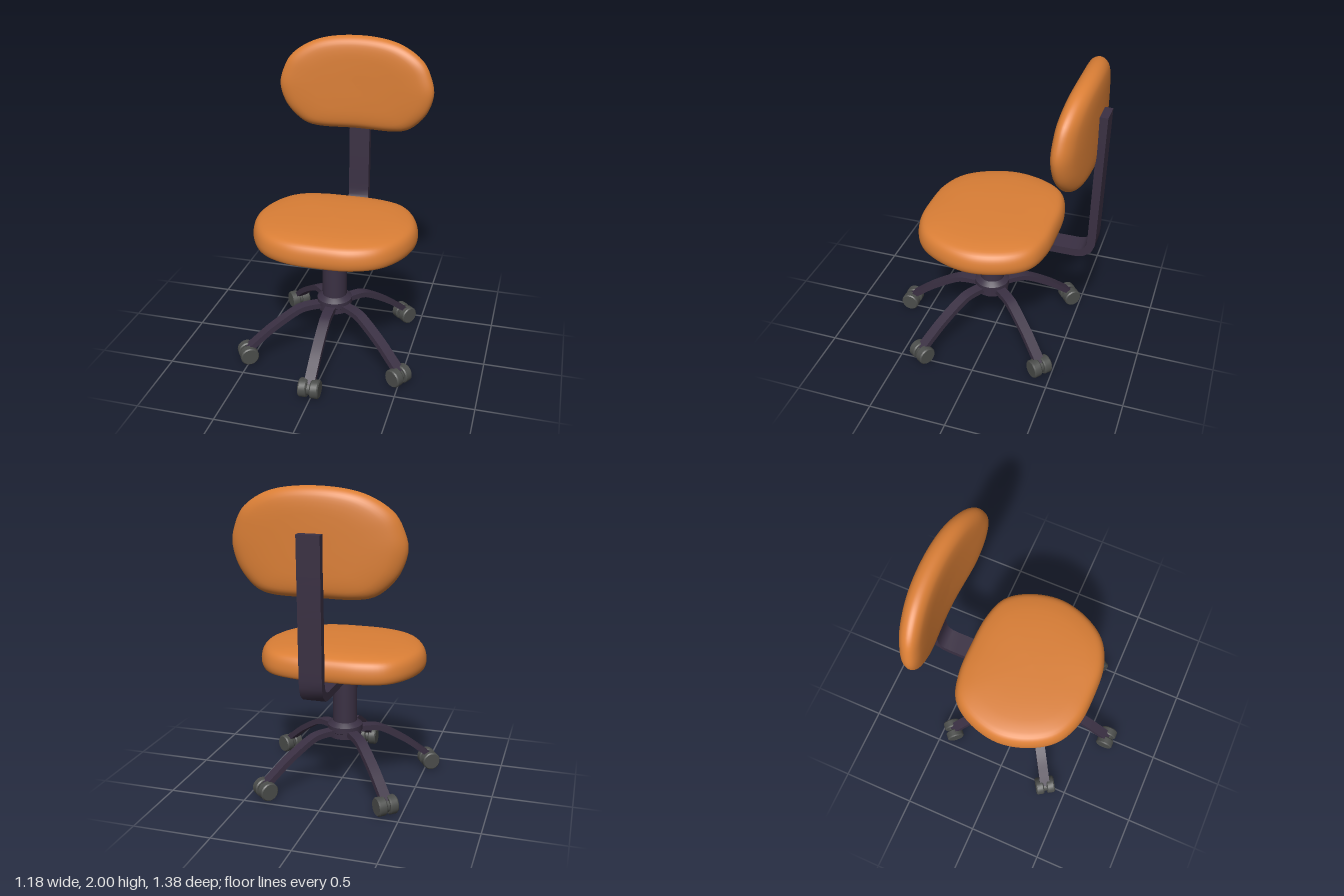
import * as THREE from 'three';
import { toCreasedNormals } from 'three/addons/utils/BufferGeometryUtils.js';

const mat = (name, color) => new THREE.MeshStandardMaterial({ name, color });

// Padded shape: a mirrored outline in x/y, scaled ring by ring along z. rings = [scale, z]
function cushion(half, rings) {
  const mirrored = half.slice(1, -1).reverse().map(([x, y]) => [-x, y]);
  const outline = new THREE.CatmullRomCurve3(
    [...half, ...mirrored].map(([x, y]) => new THREE.Vector3(x, y, 0)), true, 'centripetal');
  const n = 96, pts = outline.getSpacedPoints(n).slice(0, n);
  const pos = [], index = [];
  // smooth the ring profile
  const profile = new THREE.CatmullRomCurve3(
    rings.map(([s, z]) => new THREE.Vector3(s, z, 0)), false, 'centripetal').getPoints(36);
  profile.forEach((r, j) => {
    pts.forEach((p, i) => {
      const s = Math.max(r.x, 0.002);
      pos.push(p.x * s, p.y * s, r.y);
      if (j === profile.length - 1) return;
      const a = j * n + i, b = j * n + (i + 1) % n;
      index.push(a, b, b + n, a, b + n, a + n);
    });
  });
  const geo = new THREE.BufferGeometry();
  geo.setAttribute('position', new THREE.Float32BufferAttribute(pos, 3));
  geo.setIndex(index);
  return geo;
}

// Flat bar of constant thickness that follows a path in x/y, centred on z
function strip(path, thickness, width) {
  const up = [], down = [];
  const steps = path.getLength ? 32 : 1;
  for (let i = 0; i <= steps; i++) {
    const p = path.getPointAt(i / steps), t = path.getTangentAt(i / steps);
    const nx = -t.y * thickness / 2, ny = t.x * thickness / 2;
    up.push(new THREE.Vector2(p.x + nx, p.y + ny));
    down.unshift(new THREE.Vector2(p.x - nx, p.y - ny));
  }
  const geo = new THREE.ExtrudeGeometry(new THREE.Shape([...up, ...down]),
    { depth: width, bevelEnabled: false });
  geo.translate(0, 0, -width / 2);
  return toCreasedNormals(geo, 0.6);
}

const lathe = (points, segments) => toCreasedNormals(
  new THREE.LatheGeometry(points.map(([r, y]) => new THREE.Vector2(r, y)), segments), 0.6);

export function createModel() {
  const fabric = mat('orangeFabric', 0xdb7f36);
  const frame = mat('darkFrame', 0x3a3043);
  const rubber = mat('greyCaster', 0x4b4d4b);

  const chair = new THREE.Group();
  chair.name = 'officeChair';
  chair.position.set(-0.01, 0, 0.03);
  const add = (parent, name, geo, material) => {
    const m = new THREE.Mesh(geo, material);
    m.name = name;
    parent.add(m);
    return m;
  };

  // Seat cushion: flat below, gently domed above
  const seatGeo = cushion(
    [[0, -0.44], [0.215, -0.422], [0.38, -0.34], [0.49, -0.175], [0.533, 0.03],
      [0.48, 0.245], [0.38, 0.375], [0.215, 0.43], [0, 0.44]],
    [[0, 0.8], [0.5, 0.8], [0.93, 0.8], [0.98, 0.812], [1, 0.85], [0.985, 0.9],
      [0.94, 0.935], [0.82, 0.957], [0.6, 0.971], [0.3, 0.978], [0, 0.98]]);
  seatGeo.rotateX(-Math.PI / 2);
  seatGeo.computeVertexNormals();
  add(chair, 'seat', seatGeo, fabric);

  // Backrest cushion, its sides bent forward
  const cy = 1.68;
  const backGeo = cushion(
    [[0, 1.37], [0.255, 1.37], [0.345, 1.39], [0.415, 1.44], [0.485, 1.53], [0.522, 1.66],
      [0.5, 1.76], [0.445, 1.86], [0.28, 1.962], [0, 2]].map(([x, y]) => [x, y - cy]),
    [[0, -0.075], [0.4, -0.075], [0.75, -0.07], [0.9, -0.056], [0.98, -0.028], [1, 0],
      [0.98, 0.028], [0.9, 0.056], [0.75, 0.07], [0.4, 0.075], [0, 0.075]]);
  const p = backGeo.attributes.position;
  for (let i = 0; i < p.count; i++) p.setZ(i, p.getZ(i) + 0.22 * p.getX(i) ** 2);
  backGeo.translate(0, cy, -0.595);
  backGeo.computeVertexNormals();
  add(chair, 'backrest', backGeo, fabric);

  // Bent support bar from under the seat up behind the backrest
  const v = (x, y) => new THREE.Vector2(x, y);
  const bend = new THREE.CurvePath();
  bend.add(new THREE.LineCurve(v(0.1, 0.775), v(0.57, 0.775)));
  bend.add(new THREE.CubicBezierCurve(v(0.57, 0.775), v(0.635, 0.775), v(0.671, 0.81), v(0.673, 0.88)));
  bend.add(new THREE.LineCurve(v(0.673, 0.88), v(0.693, 1.745)));
  add(chair, 'backSupport', strip(bend, 0.052, 0.14), frame).rotation.y = Math.PI / 2;

  // Seat plate, column and hub collar
  add(chair, 'seatPlate', new THREE.CylinderGeometry(0.21, 0.21, 0.067, 48), frame).position.y = 0.769;
  add(chair, 'column', new THREE.CylinderGeometry(0.08, 0.08, 0.4, 32), frame).position.y = 0.55;
  add(chair, 'hub', lathe([[0, 0.305], [0.108, 0.305], [0.108, 0.34], [0.115, 0.345],
    [0.115, 0.385], [0.095, 0.4], [0.08, 0.41]], 32), frame);

  // Five curved legs, each ending in a twin-wheel caster
  const legGeo = strip(new THREE.SplineCurve([v(0.06, 0.343), v(0.2, 0.34), v(0.28, 0.313),
    v(0.425, 0.225), v(0.53, 0.145), v(0.605, 0.085)]), 0.036, 0.068);
  const wheelGeo = lathe([[0, -0.028], [0.053, -0.028], [0.06, -0.02], [0.06, 0.02],
    [0.053, 0.028], [0, 0.028]], 24);
  wheelGeo.rotateX(Math.PI / 2);
  const axleGeo = new THREE.CylinderGeometry(0.042, 0.042, 0.04, 20);
  axleGeo.rotateX(Math.PI / 2);
  [0, 57.5, 139, -139, -57.5].forEach((deg) => {
    const arm = new THREE.Group();
    arm.name = 'legWithCaster';
    arm.rotation.y = THREE.MathUtils.degToRad(deg - 90);
    add(arm, 'leg', legGeo, frame);
    for (const side of [-1, 1]) {
      add(arm, 'casterWheel', wheelGeo, rubber).position.set(0.6, 0.06, side * 0.038);
    }
    add(arm, 'casterAxle', axleGeo, rubber).position.set(0.6, 0.06, 0);
    chair.add(arm);
  });

  const model = new THREE.Group();
  model.name = 'model';
  model.add(chair);
  return model;
}
